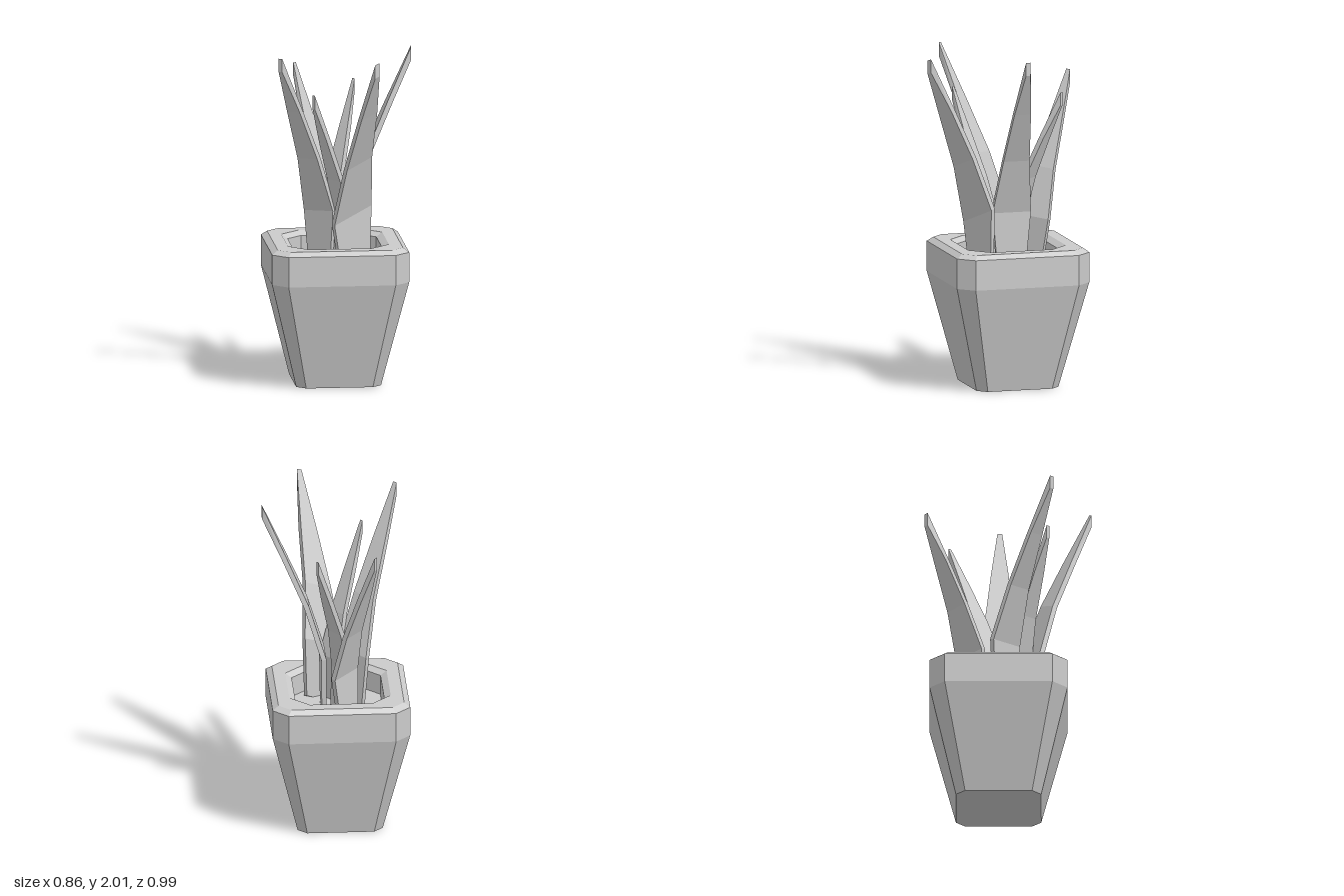
import * as THREE from 'three';

const material = new THREE.MeshStandardMaterial({ color: 0xcccccc, flatShading: true });

// Skin a stack of rings (counter-clockwise from above), capped at both ends
function loft(rings) {
  const pos = [];
  const tri = (...pts) => pts.forEach((p) => pos.push(p.x, p.y, p.z));
  const n = rings[0].length;
  for (let i = 0; i < rings.length - 1; i++) {
    const lo = rings[i], hi = rings[i + 1];
    for (let j = 0; j < n; j++) {
      const k = (j + 1) % n;
      tri(lo[j], lo[k], hi[k]);
      tri(lo[j], hi[k], hi[j]);
    }
  }
  const first = rings[0], last = rings[rings.length - 1];
  for (let j = 1; j < n - 1; j++) {
    tri(first[0], first[j + 1], first[j]);
    tri(last[0], last[j], last[j + 1]);
  }
  const geo = new THREE.BufferGeometry();
  geo.setAttribute('position', new THREE.Float32BufferAttribute(pos, 3));
  geo.computeVertexNormals();
  return geo;
}

// Square ring with cut corners: half width h, half length f of the straight sides
function octagon([y, h, f]) {
  return [[-f, h], [f, h], [h, f], [h, -f], [f, -h], [-f, -h], [-h, -f], [-h, f]]
    .map(([x, z]) => new THREE.Vector3(x, y, z));
}

// Shared blade profile: [position along chord, inward bow, relative width]
const PROFILE = [
  [0, 0, 0.72], [0.25, 0.07, 1], [0.5, 0.066, 0.68], [0.74, 0.036, 0.43], [1, 0, 0.12],
];
const THICKNESS = 0.03;

function leafGeometry(root, tip, across) {
  const start = new THREE.Vector3(...root);
  const chord = new THREE.Vector3(...tip).sub(start);
  const side = new THREE.Vector3(...across);
  const outward = side.clone().cross(chord).normalize();
  return loft(PROFILE.map(([t, bow, width]) => {
    const mid = start.clone().addScaledVector(chord, t)
      .addScaledVector(outward, -bow * chord.length());
    const innerL = mid.clone().addScaledVector(side, -width / 2);
    const innerR = mid.clone().addScaledVector(side, width / 2);
    // the tip is cut off upright
    const depth = t === 1 ? new THREE.Vector3(0, -0.08, 0)
      : outward.clone().multiplyScalar(THICKNESS);
    return [innerL.clone().add(depth), innerR.clone().add(depth), innerR, innerL];
  }));
}

// Each leaf: root, tip, and the vector across its widest section
const LEAVES = [
  [[0.05, 0.7, -0.05], [0.428, 2.0, -0.05], [0, 0, -0.235]],
  [[0.07, 0.68, 0.12], [0.172, 2.0, 0.485], [0.23, 0.1, -0.105]],
  [[-0.06, 0.68, -0.195], [-0.217, 1.83, -0.485], [-0.145, 0.02, 0.15]],
  [[-0.035, 0.68, -0.075], [0.118, 1.755, -0.345], [-0.1, 0, -0.13]],
  [[-0.1, 0.68, -0.035], [-0.38, 2.0, 0.257], [0.155, 0.02, 0.155]],
  [[0.015, 0.68, 0.06], [-0.18, 1.77, 0.235], [0.1, 0, 0.125]],
];

export function createModel() {
  const model = new THREE.Group();
  model.name = 'pottedPlant';

  // Pot: tapered wall, straight collar, bevelled rim and hollow inside
  const planter = new THREE.Group();
  planter.name = 'planter';
  planter.position.set(-0.022, 0, -0.057);
  const pot = new THREE.Mesh(loft([
    [0, 0.252, 0.198], [0.64, 0.407, 0.318], [0.82, 0.407, 0.318], [0.845, 0.372, 0.3],
    [0.845, 0.3, 0.186], [0.82, 0.263, 0.173], [0.6, 0.263, 0.173],
  ].map(octagon)), material);
  pot.name = 'pot';
  const soil = new THREE.Mesh(
    loft([[0.62, 0.262, 0.172], [0.7, 0.262, 0.172]].map(octagon)), material);
  soil.name = 'soil';
  planter.add(pot, soil);
  model.add(planter);

  // Leaves: bowed, tapering blades fanning out of the soil
  const leaves = new THREE.Group();
  leaves.name = 'leaves';
  LEAVES.forEach((leaf, i) => {
    const mesh = new THREE.Mesh(leafGeometry(...leaf), material);
    mesh.name = `leaf${i + 1}`;
    leaves.add(mesh);
  });
  model.add(leaves);
  return model;
}
